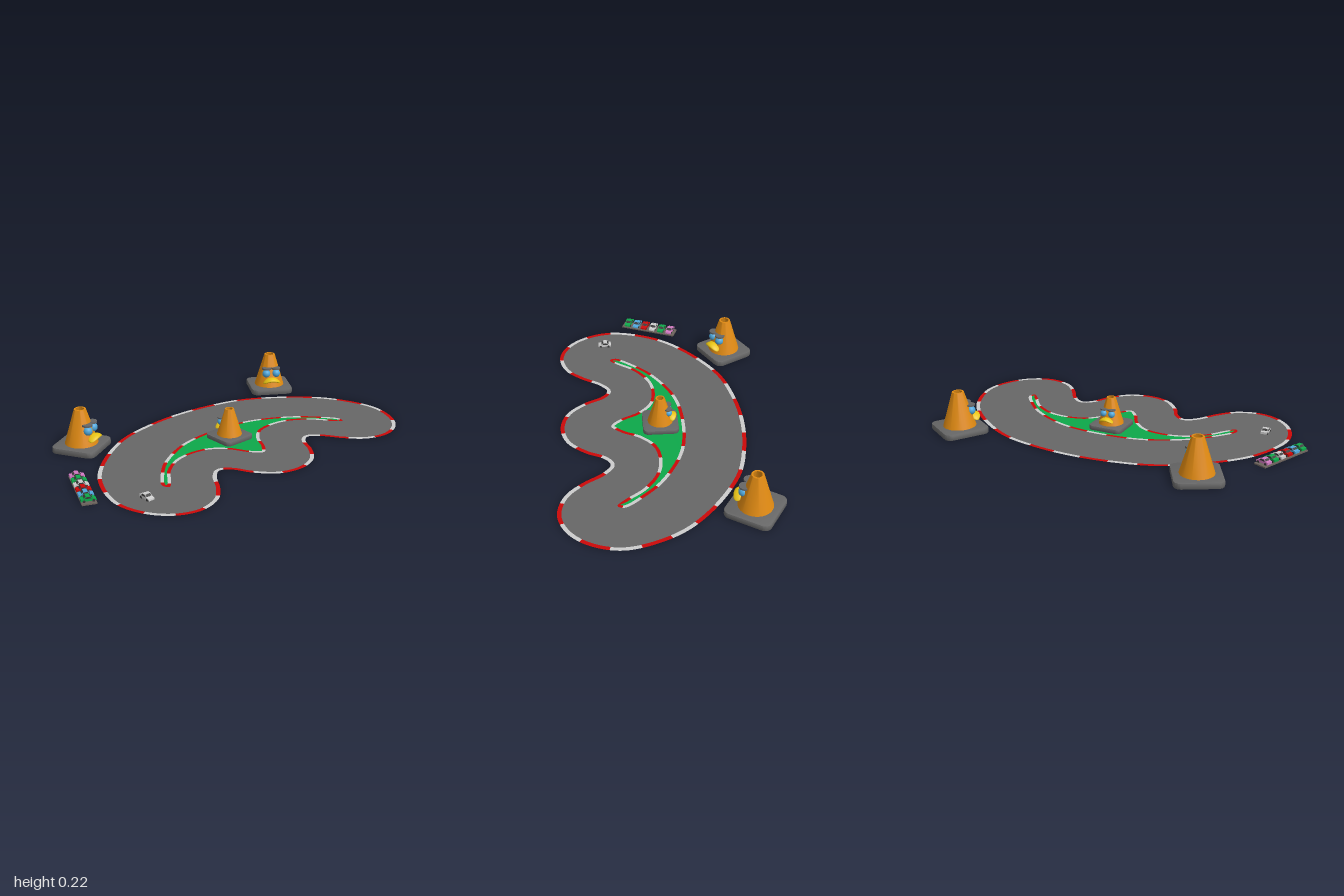
import * as THREE from 'three';
import { toCreasedNormals } from 'three/addons/utils/BufferGeometryUtils.js';

const mat = (name, color, side = THREE.FrontSide) => {
  const m = new THREE.MeshStandardMaterial({ color, side });
  m.name = name;
  return m;
};

export function createModel() {
  const D = THREE.DoubleSide;
  const M = {
    asphalt: mat('asphalt grey', 0x666666, D), gravel: mat('gravel brown', 0x6b625c),
    orange: mat('cone orange', 0xe08a12, D), green: mat('grass green', 0x0da84a, D),
    red: mat('kerb red', 0xcc0808, D), white: mat('kerb white', 0xcccccc, D),
    blue: mat('eye blue', 0x4fa8dc), yellow: mat('beak yellow', 0xe8c414),
    pink: mat('car pink', 0xd078c0), dark: mat('dark glass', 0x3a3a3a),
  };
  const root = new THREE.Group();
  const add = (parent, name, geo, material, x = 0, y = 0, z = 0) => {
    const mesh = new THREE.Mesh(geo, material);
    mesh.name = name;
    mesh.position.set(x, y, z);
    parent.add(mesh);
    return mesh;
  };
  const group = (name, x, y, z, ry = 0, s = 1) => {
    const g = new THREE.Group();
    g.name = name;
    g.position.set(x, y, z);
    g.rotation.y = ry;
    g.scale.setScalar(s);
    root.add(g);
    return g;
  };

  // Track: half outlines [offset from axis, z], mirrored into closed curves
  const AXIS = 0.06, FLAT = 0.001;
  const outerHalf = [[0, -.44], [-.245, -.417], [-.46, -.355], [-.725, -.17], [-.86, 0], [-.932, .24],
    [-.886, .41], [-.79, .515], [-.67, .555], [-.54, .52], [-.45, .433], [-.38, .33], [-.32, .287],
    [-.27, .32], [-.22, .412], [-.127, .51], [0, .545]];
  const innerHalf = [[0, -.12], [-.245, -.09], [-.46, .02], [-.565, .118], [-.645, .23], [-.63, .265],
    [-.59, .23], [-.51, .13], [-.405, .06], [-.3, .04], [-.19, .06], [-.11, .13], [-.06, .22], [0, .275]];

  // Outer and inset edges of a kerb that follows a closed outline
  const edges = (half, count, width) => {
    const mirrored = half.slice(1, -1).reverse().map(([u, z]) => [-u, z]);
    const curve = new THREE.CatmullRomCurve3(
      [...half, ...mirrored].map(([u, z]) => new THREE.Vector3(AXIS + u, 0, z)), true);
    curve.arcLengthDivisions = 1000;
    const out = [], inset = [];
    for (let i = 0; i < count; i++) {
      const p = curve.getPointAt(i / count), t = curve.getTangentAt(i / count);
      out.push(new THREE.Vector2(p.x, p.z));
      inset.push(new THREE.Vector2(p.x + t.z * width, p.z - t.x * width));
    }
    return { out, inset };
  };
  const flip = (pts) => pts.map((p) => new THREE.Vector2(p.x, -p.y));
  const flat = (outline, hole) => {
    const shape = new THREE.Shape(flip(outline));
    if (hole) shape.holes.push(new THREE.Path(flip(hole)));
    return new THREE.ShapeGeometry(shape).rotateX(-Math.PI / 2);
  };
  const kerbs = (name, { out, inset }) => {
    const pos = [[], []], n = out.length;
    for (let i = 0; i < n; i++) {
      const j = (i + 1) % n, dash = Math.floor(((i + 7) % n) / 10) % 2;
      for (const p of [out[i], out[j], inset[i], out[j], inset[j], inset[i]]) pos[dash].push(p.x, 0, p.y);
    }
    pos.forEach((a, k) => {
      const geo = new THREE.BufferGeometry();
      geo.setAttribute('position', new THREE.Float32BufferAttribute(a, 3));
      geo.computeVertexNormals();
      add(root, name + (k ? 'Red' : 'White'), geo, k ? M.red : M.white, 0, FLAT, 0);
    });
  };
  const outer = edges(outerHalf, 340, 0.021), inner = edges(innerHalf, 280, 0.018);
  add(root, 'road', flat(outer.inset, inner.out), M.asphalt, 0, FLAT, 0);
  add(root, 'grassIsland', flat(inner.inset), M.green, 0, FLAT, 0);
  kerbs('outerKerb', outer);
  kerbs('innerKerb', inner);

  // Cone parts
  const h = 0.091, r = 0.025, b = 0.004;
  const square = new THREE.Shape();
  [[1, 1], [-1, 1], [-1, -1], [1, -1]].forEach(([sx, sy], i) =>
    square.absarc(sx * (h - r), sy * (h - r), r, i * Math.PI / 2, (i + 1) * Math.PI / 2));
  const baseGeo = toCreasedNormals(new THREE.ExtrudeGeometry(square, {
    depth: 0.025 - 2 * b, bevelSize: b, bevelThickness: b, bevelSegments: 2, curveSegments: 6,
  }).rotateX(-Math.PI / 2).translate(0, b, 0), 0.6);
  const coneGeo = toCreasedNormals(new THREE.LatheGeometry(
    [[.068, .024], [.024, .17], [.017, .17], [.04, .07]].map(([x, y]) => new THREE.Vector2(x, y)), 32), 0.6);
  // Beak: flattened ball whose ends droop
  const beakGeo = new THREE.SphereGeometry(1, 24, 14).scale(.041, .01, .024);
  const bp = beakGeo.attributes.position;
  for (let i = 0; i < bp.count; i++) bp.setY(i, bp.getY(i) + .005 - 9 * bp.getX(i) ** 2);
  beakGeo.computeVertexNormals();
  const eyeGeo = new THREE.SphereGeometry(.0185, 20, 14);
  const lidGeo = new THREE.CylinderGeometry(.021, .021, .007, 20);

  const cone = (name, x, z, ry, s) => {
    const g = group(name, x, 0, z, ry, s);
    add(g, 'coneBase', baseGeo, M.asphalt);
    add(g, 'coneBody', coneGeo, M.orange);
    add(g, 'beak', beakGeo, M.yellow, 0, .057, .062);
    for (const sx of [-1, 1]) {
      add(g, 'eye', eyeGeo, M.blue, sx * .023, .088, .043);
      add(g, 'eyelid', lidGeo, M.asphalt, sx * .021, .112, .04);
    }
  };
  cone('centreCone', .056, .012, Math.PI, 1);
  cone('rightCone', -.613, -.412, .5, 1.3);
  cone('leftCone', .76, -.396, -.57, 1.3);

  // Cars: extruded side profile, nose towards local +z
  const W = .034;
  const profile = [[-.0375, .006], [-.0375, .018], [-.024, .02], [-.013, .031], [.006, .031], [.019, .019],
    [.036, .014], [.0375, .006]];
  const side = (pts, width) => new THREE.ExtrudeGeometry(
    new THREE.Shape(pts.map(([z, y]) => new THREE.Vector2(z, y))), { depth: width, bevelEnabled: false })
    .translate(0, 0, -width / 2).rotateY(-Math.PI / 2);
  const bodyGeo = side(profile, W);
  const windowGeo = side([[-.02, .0195], [-.012, .028], [.005, .028], [.014, .0195]], W + .002);
  const wheelGeo = new THREE.CylinderGeometry(.0068, .0068, .006, 16).rotateZ(Math.PI / 2);
  const glass = (len) => new THREE.BoxGeometry(W - .006, .0016, len);
  const screenGeo = glass(.014), rearGeo = glass(.012);
  const car = (name, material, x, y, z, ry) => {
    const g = group(name, x, y, z, ry);
    add(g, 'carBody', bodyGeo, material);
    add(g, 'sideWindows', windowGeo, M.dark);
    add(g, 'windscreen', screenGeo, M.dark, 0, .025, .0125).rotation.x = Math.atan2(12, 13);
    add(g, 'rearWindow', rearGeo, M.dark, 0, .0255, -.0185).rotation.x = -Math.PI / 4;
    for (const sx of [-1, 1]) for (const wz of [-.023, .023])
      add(g, 'wheel', wheelGeo, M.dark, sx * (W / 2 - .002), .0068, wz);
  };
  car('trackCar', M.white, -.727, 0, .29, 0);

  // Car park with a row of cars facing the track
  const px = -.9, pz = .01, turn = -.4;
  const lot = group('carPark', px, 0, pz, turn);
  add(lot, 'parkingSlab', new THREE.BoxGeometry(.074, .007, .33), M.gravel, 0, .0035, 0);
  ['pink', 'green', 'white', 'red', 'blue', 'green'].forEach((c, i) => {
    const d = (i - 2.5) * .053;
    car('parkedCar', M[c], px + Math.sin(turn) * d, .007, pz + Math.cos(turn) * d, turn + Math.PI / 2);
  });
  return root;
}
